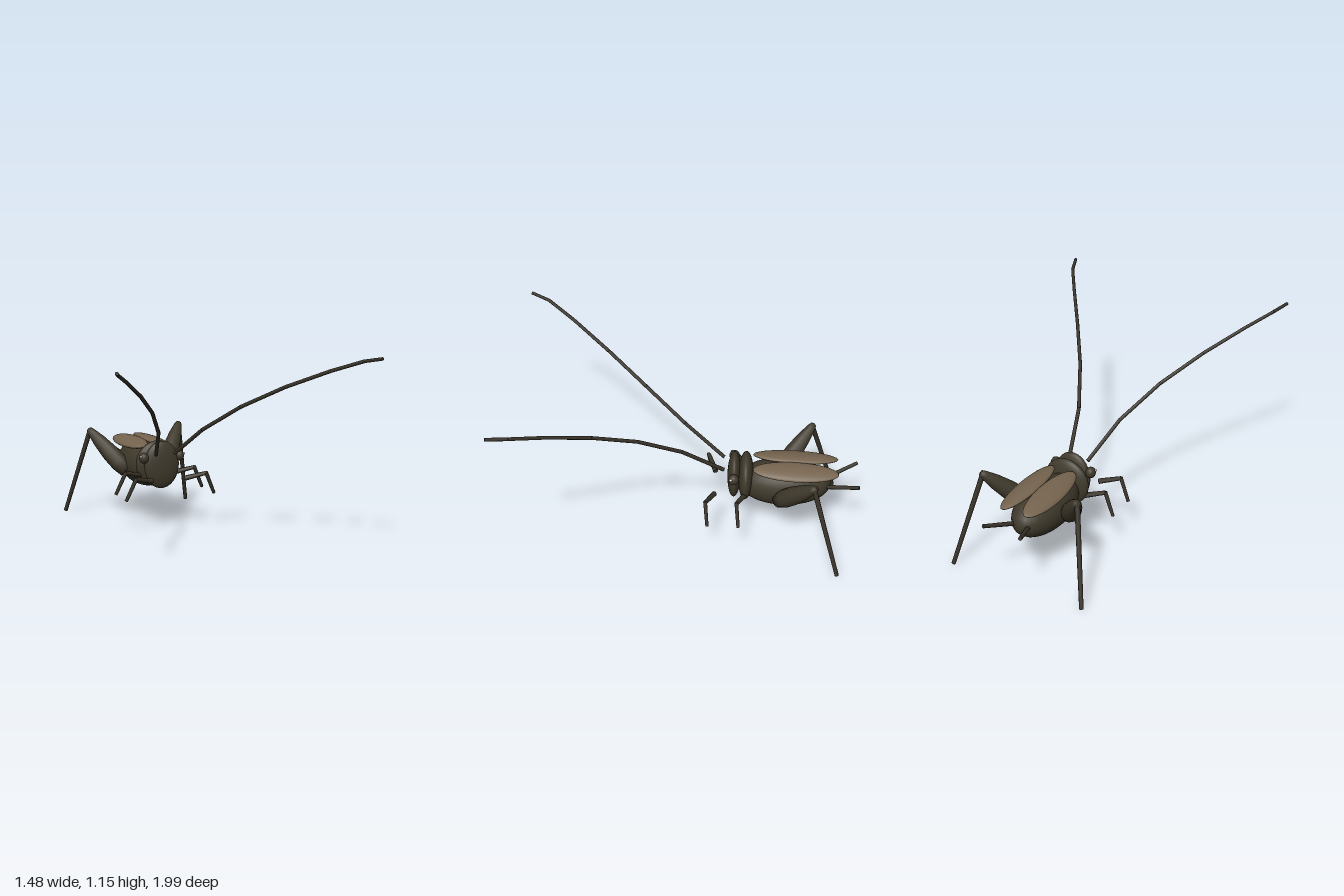
import * as THREE from 'three';

const V = (p) => new THREE.Vector3(...p);

export function createModel() {
  const model = new THREE.Group();
  const shell = new THREE.MeshStandardMaterial({ color: 0x403a2c });
  shell.name = 'dark olive shell';
  const limb = new THREE.MeshStandardMaterial({ color: 0x39342a });
  limb.name = 'dark limb';
  const wingBrown = new THREE.MeshStandardMaterial({ color: 0x75644f });
  wingBrown.name = 'wing brown';
  const glint = new THREE.MeshStandardMaterial({ color: 0xe8e8e0 });
  glint.name = 'eye glint white';

  const add = (name, geometry, material, parent = model) => {
    const mesh = new THREE.Mesh(geometry, material);
    mesh.name = name;
    parent.add(mesh);
    return mesh;
  };

  // Sphere stretched to three radii
  const ellipsoid = (name, pos, radii, material, parent) => {
    const mesh = add(name, new THREE.SphereGeometry(1, 28, 18).scale(...radii), material, parent);
    mesh.position.set(...pos);
    return mesh;
  };

  // Turned shape from a to b; profile holds [radius, fraction along] pairs
  const spindle = (name, a, b, profile, material, parent, sides = 8) => {
    const from = V(a), dir = V(b).sub(from), length = dir.length();
    const points = profile.map(([r, t]) => new THREE.Vector2(r, t * length));
    const mesh = add(name, new THREE.LatheGeometry(points, sides), material, parent);
    mesh.position.copy(from);
    mesh.quaternion.setFromUnitVectors(new THREE.Vector3(0, 1, 0), dir.normalize());
    return mesh;
  };
  const rod = (name, a, b, r0, r1, material, parent) =>
    spindle(name, a, b, [[0, 0], [r0, 0], [r0, 0.001], [r1, 0.999], [r1, 1], [0, 1]], material, parent);

  // Body, neck shield and head
  ellipsoid('abdomen', [0, 0.355, -0.56], [0.14, 0.14, 0.275], shell);
  ellipsoid('neckShield', [0, 0.39, -0.335], [0.14, 0.142, 0.046], shell);
  ellipsoid('head', [0, 0.395, -0.267], [0.112, 0.146, 0.04], shell);

  const antennaPath = [
    [0.06, 0.472, -0.205], [0.137, 0.65, 0.03], [0.268, 0.812, 0.267], [0.425, 0.947, 0.5],
    [0.583, 1.057, 0.725], [0.69, 1.122, 0.885], [0.732, 1.145, 0.993],
  ];

  for (const s of [1, -1]) {
    const side = new THREE.Group();
    side.name = s > 0 ? 'leftSide' : 'rightSide';
    model.add(side);
    const at = ([x, y, z]) => [s * x, y, z];

    // Folded wing case
    const wing = ellipsoid('wing', at([0.071, 0.481, -0.624]), [0.073, 0.025, 0.25], wingBrown, side);
    wing.rotation.set(-0.03, 0, -0.2 * s);

    // Eye with a small glint
    ellipsoid('eye', at([0.115, 0.444, -0.265]), [0.029, 0.033, 0.031], shell, side);
    ellipsoid('eyeGlint', at([0.138, 0.456, -0.249]), [0.006, 0.008, 0.008], glint, side);

    // Jointed antenna
    for (let i = 0; i < antennaPath.length - 1; i++) {
      rod('antennaSegment', at(antennaPath[i]), at(antennaPath[i + 1]),
        0.0115 - i * 0.0003, 0.0112 - i * 0.0003, limb, side);
    }

    // Jumping leg
    const knee = at([0.296, 0.543, -0.72]);
    spindle('hindThigh', at([0.13, 0.315, -0.53]), knee,
      [[0, 0], [0.044, 0], [0.055, 0.2], [0.054, 0.45], [0.042, 0.75], [0.026, 0.98], [0.018, 1.05], [0, 1.07]],
      shell, side, 12);
    rod('hindShin', at([0.3, 0.55, -0.72]), at([0.418, 0.008, -0.882]), 0.015, 0.012, limb, side);

    // Front and middle legs
    for (const [name, z] of [['frontLeg', 0], ['middleLeg', -0.18]]) {
      const leg = new THREE.Group();
      leg.name = name;
      leg.position.z = z;
      side.add(leg);
      rod('upperLeg', at([0.105, 0.325, -0.155]), at([0.226, 0.357, -0.108]), 0.016, 0.012, limb, leg);
      rod('lowerLeg', at([0.222, 0.362, -0.107]), at([0.282, 0.226, -0.122]), 0.012, 0.01, limb, leg);
    }

    // Tail feeler
    rod('tailFeeler', at([0.04, 0.355, -0.8]), at([0.117, 0.42, -0.992]), 0.013, 0.011, limb, side);
  }

  return model;
}
